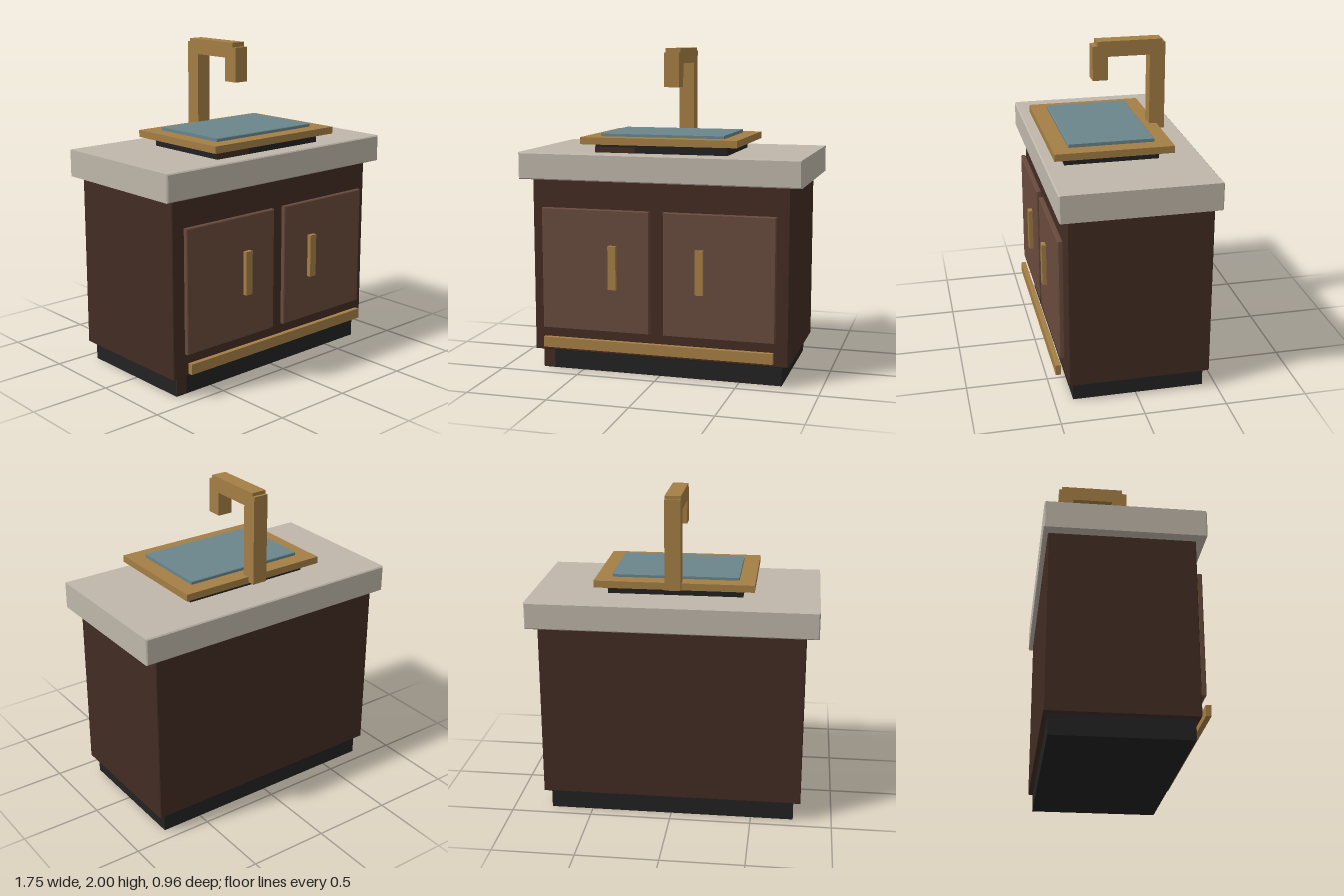
import * as THREE from 'three';

const mat = (name, color) => {
  const m = new THREE.MeshStandardMaterial({ color });
  m.name = name;
  return m;
};

// Box given by its limits on each axis, with an optional small chamfer b
function block(parent, name, material, [x0, x1], [y0, y1], [z0, z1], b = 0) {
  const w = x1 - x0, h = y1 - y0, d = z1 - z0;
  let geo;
  if (b > 0) {
    const s = new THREE.Shape();
    const hw = w / 2 - b, hh = h / 2 - b;
    s.moveTo(-hw, -hh).lineTo(hw, -hh).lineTo(hw, hh).lineTo(-hw, hh).closePath();
    geo = new THREE.ExtrudeGeometry(s, {
      depth: d - 2 * b, bevelEnabled: true, bevelSegments: 1, bevelSize: b, bevelThickness: b,
    });
    geo.translate(0, 0, b - d / 2);
  } else {
    geo = new THREE.BoxGeometry(w, h, d);
  }
  const mesh = new THREE.Mesh(geo, material);
  mesh.name = name;
  mesh.position.set((x0 + x1) / 2, (y0 + y1) / 2, (z0 + z1) / 2);
  parent.add(mesh);
  return mesh;
}

export function createModel() {
  const model = new THREE.Group();
  model.name = 'sinkCabinet';

  const darkWood = mat('darkWood', 0x422c23);
  const doorWood = mat('doorWood', 0x684a3c);
  const stone = mat('stone', 0xbfb7aa);
  const brass = mat('brass', 0xa57e44);
  const black = mat('black', 0x222222);
  const water = mat('water', 0x6a868c);

  // Cabinet
  block(model, 'plinth', black, [-0.763, 0.76], [0, 0.125], [-0.42, 0.385]);
  block(model, 'plinthPatch', darkWood, [-0.763, -0.69], [0.005, 0.12], [0.383, 0.387]);
  block(model, 'cabinetBody', darkWood, [-0.806, 0.803], [0.122, 1.21], [-0.448, 0.414], 0.005);
  block(model, 'countertop', stone, [-0.879, 0.876], [1.204, 1.37], [-0.476, 0.47], 0.007);

  // Doors with their handles
  for (const [side, x, hx] of [['right', -0.39, -0.275], ['left', 0.385, 0.27]]) {
    const door = new THREE.Group();
    door.name = side + 'Door';
    block(door, 'doorPanel', doorWood, [x - 0.344, x + 0.344], [0.273, 1.031], [0.425, 0.457], 0.005);
    block(door, 'doorHandle', brass, [hx - 0.025, hx + 0.025], [0.545, 0.815], [0.455, 0.484]);
    model.add(door);
  }
  block(model, 'footRail', brass, [-0.725, 0.721], [0.157, 0.221], [0.45, 0.481]);

  // Sink
  const sink = new THREE.Group();
  sink.name = 'sink';
  block(sink, 'basin', black, [-0.416, 0.411], [1.36, 1.43], [-0.216, 0.356]);
  block(sink, 'basinPatch', darkWood, [-0.416, -0.165], [1.371, 1.405], [0.354, 0.358]);
  block(sink, 'sinkRim', brass, [-0.488, 0.484], [1.424, 1.467], [-0.292, 0.425]);
  block(sink, 'waterSurface', water, [-0.39, 0.386], [1.45, 1.487], [-0.192, 0.326], 0.004);
  model.add(sink);

  // Faucet
  const faucet = new THREE.Group();
  faucet.name = 'faucet';
  const fx = [-0.05, 0.046];
  block(faucet, 'faucetPost', brass, fx, [1.434, 1.98], [-0.341, -0.245]);
  block(faucet, 'faucetArm', brass, fx, [1.905, 2], [-0.322, 0.08]);
  block(faucet, 'faucetSpout', brass, fx, [1.76, 1.972], [0.014, 0.109]);
  model.add(faucet);

  return model;
}
